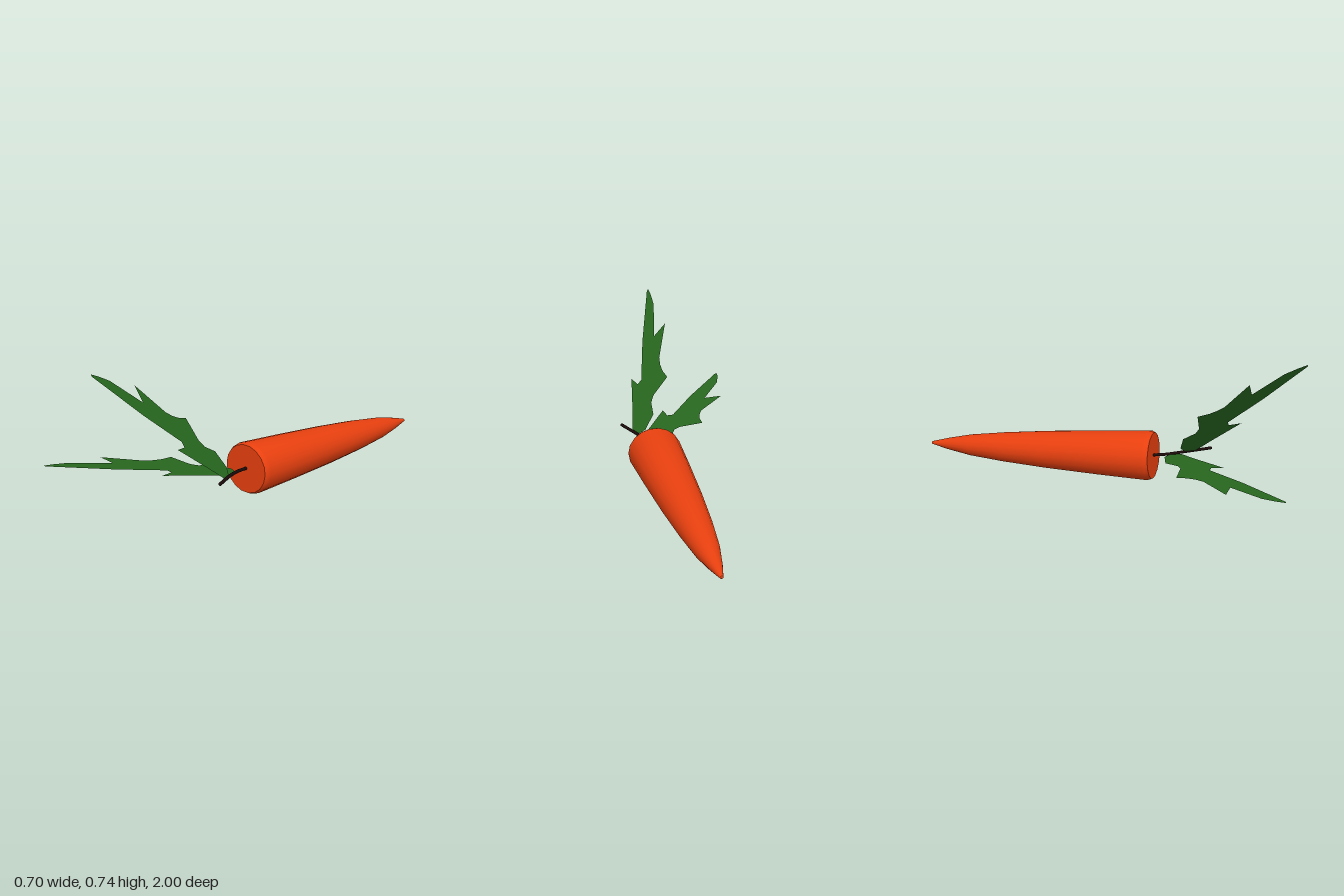
import * as THREE from 'three';
import { toCreasedNormals } from 'three/addons/utils/BufferGeometryUtils.js';

const orange = new THREE.MeshStandardMaterial({ color: 0xe8400f });
const green = new THREE.MeshStandardMaterial({ color: 0x28681f, side: THREE.DoubleSide });
const dark = new THREE.MeshStandardMaterial({ color: 0x1c0b0a });

// Jagged leaf outline, from the root round to the tip and back
const leafOutline = [
  [0.272, 0.157], [0.252, 0.225], [0.22, 0.348], [0.2, 0.338], [0.18, 0.36], [0.13, 0.514],
  [0.05, 0.726], [0.042, 0.736], [0.038, 0.715], [0.038, 0.681], [0.075, 0.553], [0.015, 0.62],
  [0.08, 0.475], [0.084, 0.45], [0.082, 0.43], [0.07, 0.414], [0.147, 0.322], [0.165, 0.29],
  [0.169, 0.25], [0.22, 0.178], [0.25, 0.153],
];

// Flat leaf whose outline is laid into a slanted plane by a placing rule
function makeLeaf(name, place) {
  const shape = new THREE.Shape(leafOutline.map(([x, y]) => new THREE.Vector2(x, y)));
  const geometry = new THREE.ShapeGeometry(shape);
  const position = geometry.attributes.position;
  for (let i = 0; i < position.count; i++) {
    position.setXYZ(i, ...place(position.getX(i), position.getY(i)));
  }
  geometry.computeVertexNormals();
  const leaf = new THREE.Mesh(geometry, green);
  leaf.name = name;
  return leaf;
}

export function createModel() {
  const model = new THREE.Group();
  model.name = 'carrot';

  // Tapered root: 18-sided turned profile, lying along z with its tip at the back
  const profile = [
    [0, 0], [0.008, 0.004], [0.033, 0.1], [0.06, 0.23], [0.083, 0.42], [0.104, 0.66],
    [0.122, 0.94], [0.136, 1.2], [0.135, 1.213], [0.127, 1.23], [0, 1.23],
  ].map(([r, s]) => new THREE.Vector2(r, s - 1.23));
  const rootGeometry = new THREE.LatheGeometry(profile, 18, Math.PI / 18);
  rootGeometry.rotateX(Math.PI / 2);
  rootGeometry.scale(1, 0.926, 1);
  const root = new THREE.Mesh(toCreasedNormals(rootGeometry, 0.6), orange);
  root.name = 'carrotRoot';
  root.rotation.x = -0.056;
  root.position.set(0.21, 0.128, 0.228);
  model.add(root);

  // Thin bent stem
  const stemCurve = new THREE.CatmullRomCurve3([
    new THREE.Vector3(0.21, 0.13, 0.22),
    new THREE.Vector3(0.22, 0.137, 0.285),
    new THREE.Vector3(0.247, 0.147, 0.36),
    new THREE.Vector3(0.314, 0.161, 0.5),
  ]);
  const stem = new THREE.Group();
  stem.name = 'stem';
  stem.add(new THREE.Mesh(new THREE.TubeGeometry(stemCurve, 12, 0.008, 8), dark));
  const stemEnd = new THREE.Mesh(new THREE.SphereGeometry(0.008, 8, 6), dark);
  stemEnd.position.copy(stemCurve.getPoint(1));
  stem.add(stemEnd);
  model.add(stem);

  // One leaf rises steeply, the other spreads almost level
  model.add(makeLeaf('raisedLeaf', (x, y) => [x, y, -0.407 + 2.056 * x + 1.794 * y]));
  model.add(makeLeaf('levelLeaf', (u, v) => {
    const x = 0.09 + 0.787 * (u - 0.169) - 0.701 * (v - 0.25);
    const z = 0.32 + 2.207 * (u - 0.169) + 1.947 * (v - 0.25);
    return [x, 0.124 - 0.0334 * x + 0.07 * z, z];
  }));
  return model;
}
